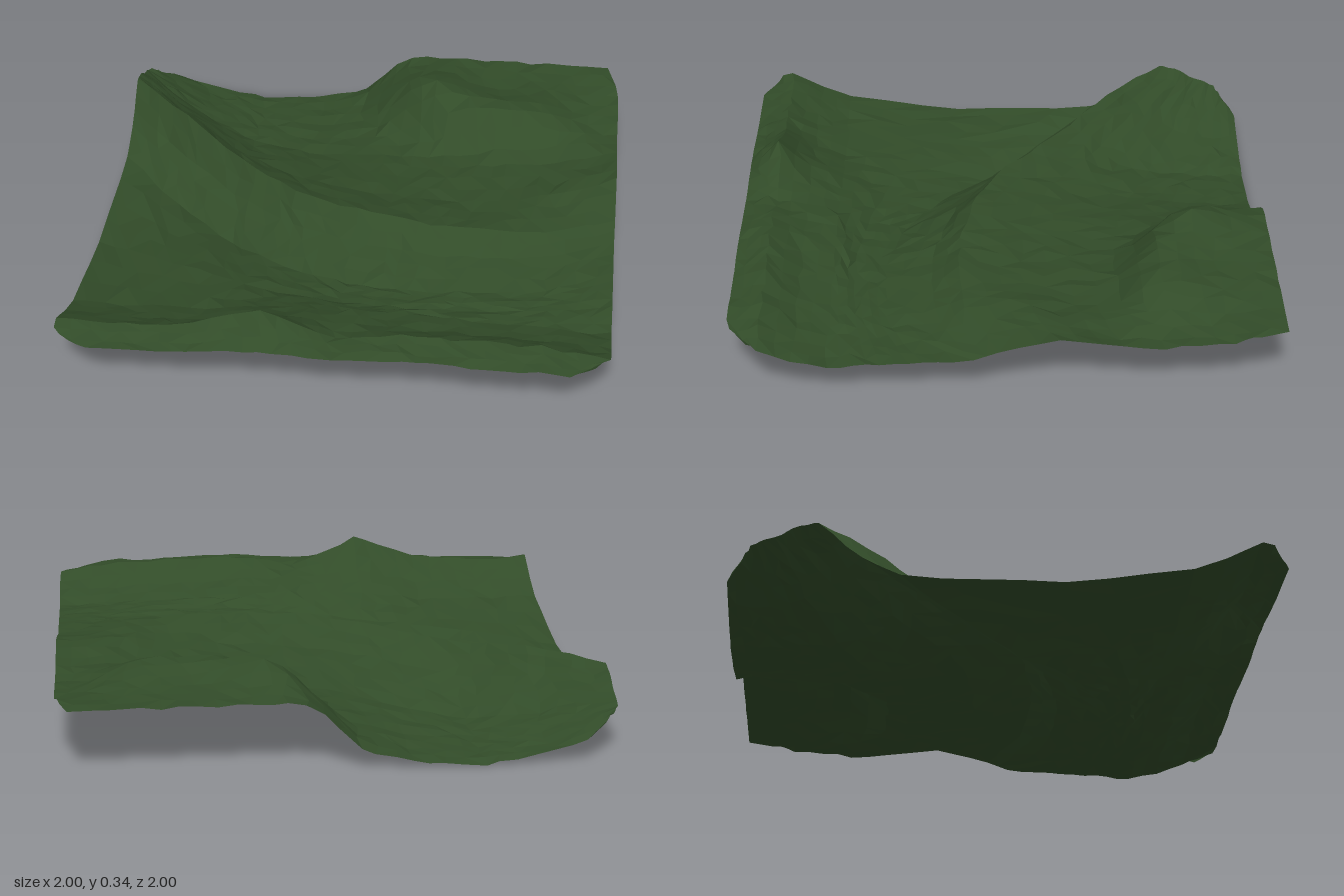
import * as THREE from 'three';

// Cross-sections run along x at nine stations; each has depths z, heights y
// and the number of mesh rows that lead to the next one.
const crest = [-0.68, -0.44, -0.22, -0.02, 0.1, 0.16, 0.17, 0.14, 0.02];
const toBack = (t) => crest.map((c) => -1 + t * (c + 1));
const toFront = (t) => crest.map((c) => c + t * (0.88 - c));
const offset = (d) => crest.map((c) => c + d);
const flat = (z) => crest.map(() => z);
const sections = [
  { rows: 8, z: flat(-1), y: [0.13, 0.04, 0.0, 0.02, 0.09, 0.17, 0.2, 0.22, 0.25] },
  { rows: 4, z: toBack(0.5), y: [0.2, 0.09, 0.035, 0.06, 0.11, 0.14, 0.17, 0.19, 0.21] },
  { rows: 3, z: toBack(0.8), y: [0.24, 0.18, 0.12, 0.14, 0.165, 0.175, 0.19, 0.22, 0.25] },
  { rows: 2, z: crest, y: [0.265, 0.255, 0.21, 0.215, 0.235, 0.235, 0.225, 0.215, 0.2] }, // long ridge
  { rows: 3, z: offset(0.1), y: [0.17, 0.13, 0.105, 0.125, 0.15, 0.165, 0.165, 0.165, 0.17] },
  { rows: 4, z: offset(0.28), y: [0.06, 0.015, 0.0, 0.045, 0.085, 0.12, 0.135, 0.14, 0.155] }, // valley
  { rows: 3, z: toFront(0.55), y: [0.055, 0.07, 0.085, 0.095, 0.11, 0.13, 0.14, 0.145, 0.15] },
  { rows: 2, z: flat(0.64), y: [0.12, 0.12, 0.125, 0.16, 0.17, 0.17, 0.155, 0.15, 0.135] },
  { rows: 2, z: flat(0.76), y: [0.17, 0.16, 0.17, 0.22, 0.2, 0.2, 0.19, 0.18, 0.17] },
  { rows: 3, z: flat(0.88), y: [0.23, 0.22, 0.25, 0.335, 0.225, 0.26, 0.26, 0.25, 0.22] }, // front ridge
  { rows: 0, z: flat(1), y: [0.2, 0.2, 0.21, 0.24, 0.225, 0.24, 0.23, 0.23, 0.2] },
];

// Trimmed corners: sign of x, sign of z, cut along x, cut along z
const cuts = [[-1, -1, 0.12, 0.09], [1, -1, 0.04, 0.2], [-1, 1, 0.12, 0.07], [1, 1, 0.16, 0.12]];

function seeded(seed) {
  return () => {
    seed = (seed * 16807) % 2147483647;
    return seed / 2147483647 - 0.5;
  };
}

function sample(values, x) {
  const f = Math.min((x + 1) * 4, 7.9999);
  const i = Math.floor(f);
  return THREE.MathUtils.lerp(values[i], values[i + 1], f - i);
}

const bump = (x, z, cx, cz, r) => Math.exp(-((x - cx) ** 2 + (z - cz) ** 2) / (r * r));

// Rounded knoll at the back, steep on its outer rim, highest at its left corner
function knoll(x, z, y) {
  const d = Math.pow(Math.pow(Math.abs(x - 0.76) / 0.63, 2.4) + Math.pow(Math.abs(z + 1) / 0.48, 2.4), 1 / 2.4);
  const top = 0.25 + 0.075 * bump(x, z, 0.22, -0.68, 0.17) + 0.04 * bump(x, z, 0.43, -0.56, 0.15)
    + 0.045 * bump(x, z, 0.68, -0.6, 0.15) - 0.05 * bump(x, z, 1, -0.6, 0.2);
  const blend = 1 - THREE.MathUtils.smoothstep(d, 0.94, 1.38);
  return THREE.MathUtils.lerp(y, Math.max(y, top), blend);
}

function trimCorner(p) {
  for (const [sx, sz, a, b] of cuts) {
    const u = (p.x * sx - 1 + a) / a;
    const v = (p.z * sz - 1 + b) / b;
    const over = (u + v - 1) / 2;
    if (u > 0 && v > 0 && over > 0) {
      p.x -= sx * over * a;
      p.z -= sz * over * b;
    }
  }
}

// One line of the sheet per row, blended between neighbouring sections
function meshRows() {
  const lines = [];
  sections.forEach(({ rows }, k) => {
    for (let r = 0; r < rows; r++) lines.push([sections[k], sections[k + 1], r / rows]);
  });
  const last = sections[sections.length - 1];
  lines.push([last, last, 0]);
  return lines;
}

function terrainGeometry() {
  const columns = 32;
  const lines = meshRows();
  const rows = lines.length - 1;
  const random = seeded(71);
  const positions = [], index = [];
  let lowest = Infinity;
  lines.forEach(([from, to, t], j) => {
    for (let i = 0; i <= columns; i++) {
      const p = new THREE.Vector3(-1 + (2 * i) / columns, 0, 0);
      // Irregular facets inside, straight outer edges
      if (i > 0 && i < columns) p.x += random() * 0.035;
      p.z = THREE.MathUtils.lerp(sample(from.z, p.x), sample(to.z, p.x), t);
      p.y = THREE.MathUtils.lerp(sample(from.y, p.x), sample(to.y, p.x), t);
      p.y = knoll(p.x, p.z, p.y) + random() * 0.012;
      if (j > 0 && j < rows) p.z += random() * 0.016;
      trimCorner(p);
      lowest = Math.min(lowest, p.y);
      positions.push(p.x, p.y, p.z);
      if (i < columns && j < rows) {
        const a = j * (columns + 1) + i, b = a + columns + 1;
        if (random() > 0) index.push(a, b, a + 1, b, b + 1, a + 1);
        else index.push(a, b, b + 1, a, b + 1, a + 1);
      }
    }
  });
  const geometry = new THREE.BufferGeometry();
  geometry.setAttribute('position', new THREE.Float32BufferAttribute(positions, 3));
  geometry.setIndex(index);
  geometry.translate(0, -lowest, 0);
  geometry.computeVertexNormals();
  return geometry;
}

export function createModel() {
  const group = new THREE.Group();
  group.name = 'hillyGround';
  const material = new THREE.MeshStandardMaterial({ color: 0x324c29, flatShading: true, side: THREE.DoubleSide });
  const terrain = new THREE.Mesh(terrainGeometry(), material);
  terrain.name = 'terrain';
  group.add(terrain);
  return group;
}
